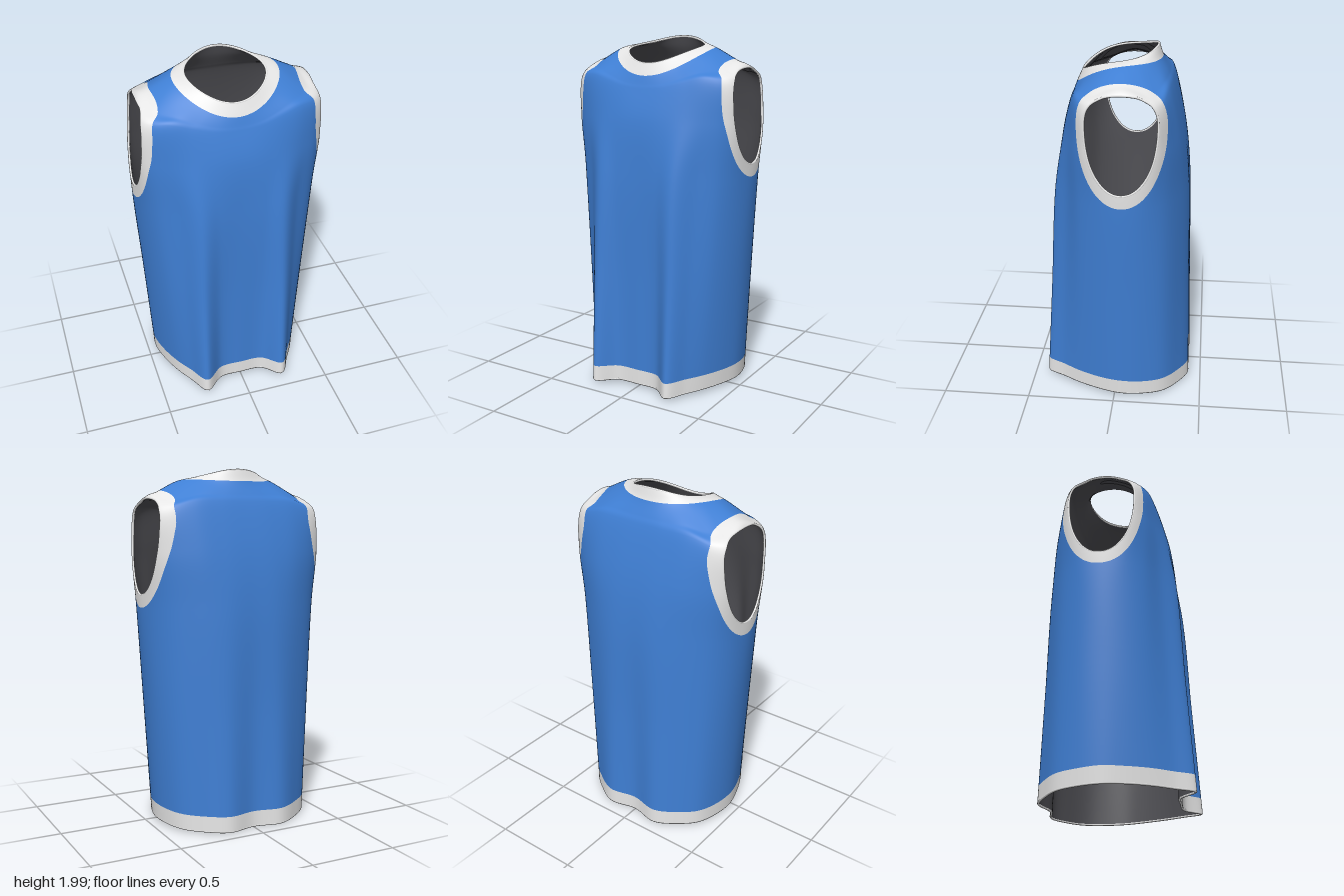
import * as THREE from 'three';

const V = (x, y, z) => new THREE.Vector3(x, y, z);
const N = 12, COLS = 176, STEP = 12, THICK = 0.012;

// Half cross-sections from front centre round the left side to back centre: [x, z] or [x, z, y]
const HEM = [[0, .328], [.13, .335], [.24, .422], [.31, .315], [.375, .205], [.43, .07], [.454, -.04],
  [.44, -.16], [.39, -.28], [.295, -.362], [.165, -.427], [0, -.397]];
const CHEST = [[0, .33], [.13, .335], [.24, .343], [.345, .262], [.445, .185], [.505, .08], [.528, -.045, 1.28],
  [.505, -.17], [.435, -.27], [.3, -.35], [.16, -.39], [0, -.392]];
const ARM = [[0, .31], [.14, .305], [.26, .285], [.37, .24], [.455, .19], [.508, .13], [.52, -.045],
  [.508, -.215], [.445, -.275], [.3, -.335], [.16, -.355], [0, -.358]];
const SHOULDER = [[0, .265, 1.72], [.13, .26, 1.73], [.25, .24, 1.76], [.355, .213, 1.785], [.44, .175, 1.78],
  [.492, .12, 1.785], [.482, -.045, 1.842], [.492, -.2, 1.785], [.44, -.245, 1.78], [.3, -.275, 1.815],
  [.15, -.287, 1.82], [0, -.289, 1.82]];

const section = (pts, y) => pts.map((p) => V(p[0], p[2] ?? y, p[1]));
const blend = (a, b, t) => a.map((p, i) => p.clone().lerp(b[i], t));
const byAngle = (fn) => Array.from({ length: N }, (_, i) => {
  const a = (i * Math.PI) / (N - 1);
  return fn(Math.sin(a), Math.cos(a));
});

function makeRings() {
  const hem = section(HEM, 0);
  byAngle((s, c) => 0.016 + 0.016 * s * s + 0.006 * c).forEach((y, i) => { hem[i].y = y; });
  const chest = section(CHEST, 1.24);
  const shoulder = section(SHOULDER);
  const trim = byAngle((s, c) => V(0.29 * s, 1.93 - 0.045 * c - 0.025 * c ** 3 - 0.07 * c * c, 0.005 + 0.235 * c));
  const neck = byAngle((s, c) => V(0.22 * s, 1.943 - 0.033 * c - 0.035 * c ** 3 - 0.0185 * c * c, 0.21 * c));
  const halves = [hem, blend(hem, chest, 0.07), blend(hem, chest, 0.5), chest,
    section(ARM, 1.55), shoulder, blend(shoulder, trim, 0.35), trim, neck];
  // Mirror each half and smooth it into a closed loop
  return halves.map((h) => {
    const other = h.slice(1, -1).reverse().map((p) => V(-p.x, p.y, p.z));
    const curve = new THREE.CatmullRomCurve3([...h, ...other], true);
    return Array.from({ length: COLS }, (_, i) => curve.getPoint(i / COLS));
  });
}

// Egg-shaped armhole outline seen from the side, broad at the top; negative inside
function egg(p, halfZ, up, down) {
  if (Math.abs(p.x) < 0.3) return 1;
  const y = p.y + Math.max(0, 0.475 - Math.abs(p.x)) * 0.6 - 1.68;
  const e = y > 0 ? 2.6 : 2.1;
  const dz = Math.abs(p.z + 0.045) / halfZ, dy = Math.abs(y) / (y > 0 ? up : down);
  return Math.pow(dz ** e + dy ** e, 1 / e) - 1;
}

// Keep the part of a polygon where value k has the given sign
function clip(poly, k, sign) {
  const out = [];
  poly.forEach((a, i) => {
    const b = poly[(i + 1) % poly.length];
    const fa = a[k] * sign, fb = b[k] * sign;
    if (fa >= 0) out.push(a);
    if ((fa > 0 && fb < 0) || (fa < 0 && fb > 0)) {
      const t = fa / (fa - fb);
      out.push(a.map((v, j) => (j === k ? 0 : v + (b[j] - v) * t)));
    }
  });
  return out;
}

// Triangulated patch, either the outer face or the inset, reversed lining
function patch(polys, inner) {
  const pos = [], nor = [];
  const add = (v) => {
    const d = inner ? THICK : 0, s = inner ? -1 : 1;
    pos.push(v[0] - v[3] * d, v[1] - v[4] * d, v[2] - v[5] * d);
    nor.push(v[3] * s, v[4] * s, v[5] * s);
  };
  for (const p of polys) {
    for (let i = 1; i + 1 < p.length; i++) {
      (inner ? [p[0], p[i + 1], p[i]] : [p[0], p[i], p[i + 1]]).forEach(add);
    }
  }
  const g = new THREE.BufferGeometry();
  g.setAttribute('position', new THREE.Float32BufferAttribute(pos, 3));
  g.setAttribute('normal', new THREE.Float32BufferAttribute(nor, 3));
  return g;
}

export function createModel() {
  const group = new THREE.Group();
  group.name = 'sleevelessShirt';
  const mat = (name, color) => Object.assign(new THREE.MeshStandardMaterial({ color }), { name });
  const blue = mat('blueCloth', 0x3f7fd4);
  const white = mat('whiteTrim', 0xe6e6e6);
  const dark = mat('darkLining', 0x4e4e53);
  const addMesh = (name, geo, material) => {
    const m = new THREE.Mesh(geo, material);
    m.name = name;
    group.add(m);
  };

  // Loft a smooth surface upward through the rings
  const rings = makeRings();
  const rows = (rings.length - 1) * STEP;
  const pos = new Float32Array((rows + 1) * COLS * 3), index = [];
  for (let u = 0; u < COLS; u++) {
    const meridian = new THREE.CatmullRomCurve3(rings.map((r) => r[u]));
    for (let v = 0; v <= rows; v++) meridian.getPoint(v / rows).toArray(pos, (v * COLS + u) * 3);
  }
  for (let v = 0; v < rows; v++) {
    for (let u = 0; u < COLS; u++) {
      const a = v * COLS + u, b = v * COLS + ((u + 1) % COLS);
      index.push(a, b, b + COLS, a, b + COLS, a + COLS);
    }
  }
  const loft = new THREE.BufferGeometry();
  loft.setAttribute('position', new THREE.BufferAttribute(pos, 3));
  loft.setIndex(index);
  loft.computeVertexNormals();
  const nor = loft.attributes.normal.array;
  const verts = Array.from({ length: (rows + 1) * COLS }, (_, i) => {
    const p = V().fromArray(pos, i * 3);
    return [...p.toArray(), ...nor.slice(i * 3, i * 3 + 3), egg(p, 0.195, 0.16, 0.37), egg(p, 0.235, 0.24, 0.44)];
  });

  // Sort the surface into cloth and trims, leaving the armholes open
  const parts = { hemTrim: [], body: [], neckTrim: [], armTrim: [] };
  for (let i = 0; i < index.length; i += 3) {
    const tri = [verts[index[i]], verts[index[i + 1]], verts[index[i + 2]]];
    const row = Math.floor(i / 6 / COLS);
    if (row < STEP) parts.hemTrim.push(tri);
    else if (row >= rows - STEP) parts.neckTrim.push(tri);
    else {
      const cloth = clip(tri, 7, 1), trim = clip(clip(tri, 7, -1), 6, 1);
      if (cloth.length > 2) parts.body.push(cloth);
      if (trim.length > 2) parts.armTrim.push(trim);
    }
  }
  for (const [name, polys] of Object.entries(parts)) {
    addMesh(name, patch(polys, false), name === 'body' ? blue : white);
  }
  addMesh('lining', patch(Object.values(parts).flat(), true), dark);

  // Rolled edges joining the cloth and the lining
  const inset = (v) => V(v[0] - v[3] * THICK / 2, v[1] - v[4] * THICK / 2, v[2] - v[5] * THICK / 2);
  const addRim = (name, pts) => addMesh(name,
    new THREE.TubeGeometry(new THREE.CatmullRomCurve3(pts, true), 120, THICK * 0.58, 8, true), white);
  const every = (row) => verts.slice(row * COLS, (row + 1) * COLS).filter((_, i) => i % 2 === 0).map(inset);
  addRim('hemEdge', every(0));
  addRim('neckEdge', every(rows));
  for (const side of [1, -1]) {
    const bins = [];
    for (const v of parts.armTrim.flat()) {
      if (Math.abs(v[6]) > 1e-6 || v[0] * side < 0) continue;
      const k = Math.floor(((Math.atan2(v[1] - 1.6, v[2] + 0.045) / Math.PI + 1) / 2) * 48);
      bins[k] ??= inset(v);
    }
    addRim(side > 0 ? 'leftArmEdge' : 'rightArmEdge', bins.filter(Boolean));
  }
  return group;
}
